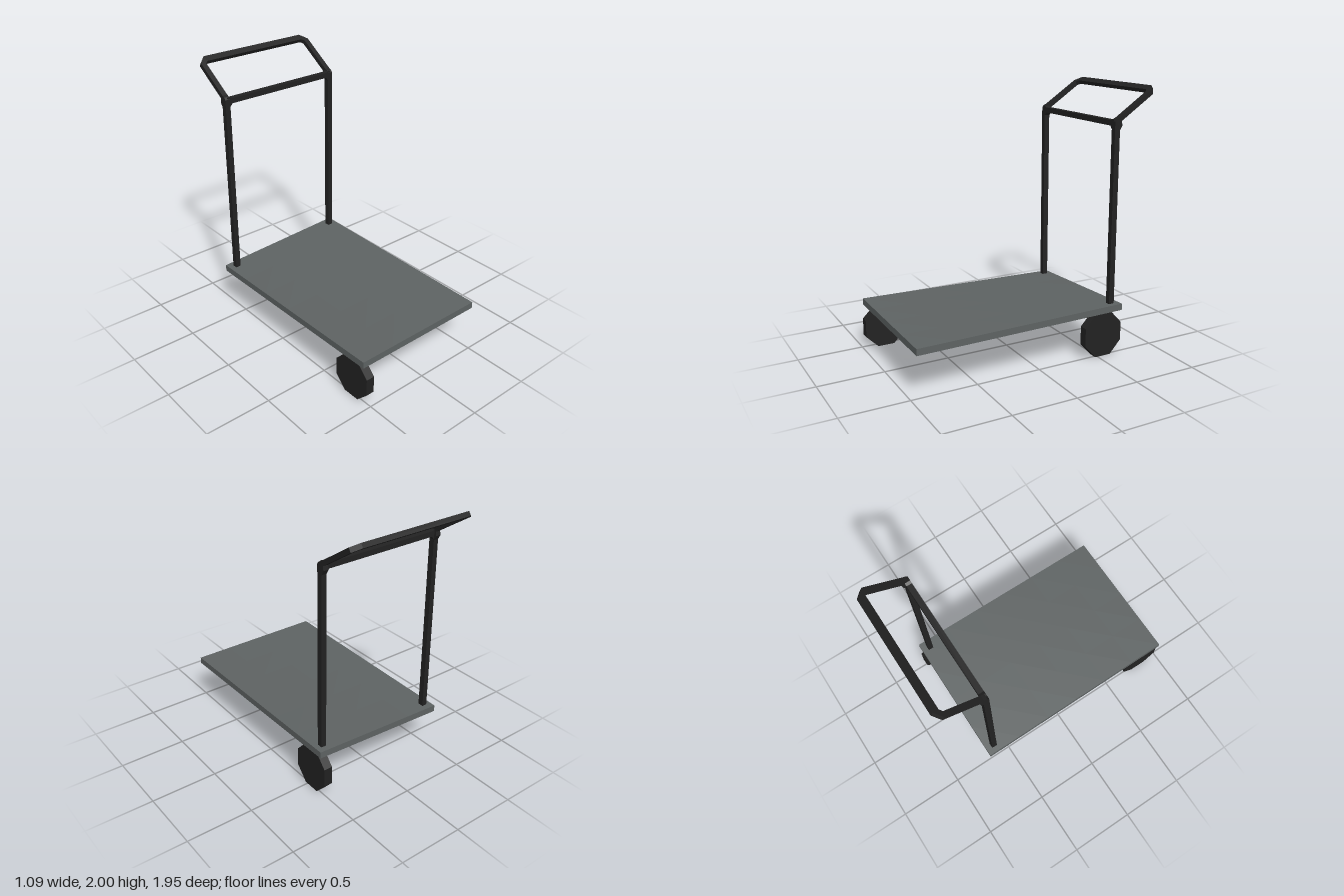
import * as THREE from 'three';

export function createModel() {
  const group = new THREE.Group();
  const deckGrey = new THREE.MeshStandardMaterial({ color: 0x5e6363, flatShading: true });
  deckGrey.name = 'deckGrey';
  const black = new THREE.MeshStandardMaterial({ color: 0x222222, flatShading: true });
  black.name = 'black';

  function add(name, geometry, material, x = 0, y = 0, z = 0) {
    const mesh = new THREE.Mesh(geometry, material);
    mesh.name = name;
    mesh.position.set(x, y, z);
    group.add(mesh);
    return mesh;
  }
  const outline = (points) => new THREE.Shape(points.map(([x, y]) => new THREE.Vector2(x, y)));
  const slab = (shape, depth) => new THREE.ExtrudeGeometry(shape, { depth, bevelEnabled: false });

  // Deck: a thin board, slightly twisted towards the back
  const board = new THREE.BoxGeometry(1.085, 0.05, 1.655, 4, 1, 6);
  const p = board.attributes.position;
  for (let i = 0; i < p.count; i++) {
    const back = 0.5 - p.getZ(i) / 1.655;
    const side = p.getX(i) / 1.085;
    p.setY(i, p.getY(i) + 0.355 + back * (-0.007 + side * 0.053));
  }
  board.computeVertexNormals();
  add('deck', board, deckGrey, 0, 0, 0.137);

  // Two octagonal wheels on opposite corners
  function wheel(name, x, z, height) {
    const geo = new THREE.CylinderGeometry(0.171, 0.171, 0.066, 8);
    geo.rotateY(Math.PI / 8);
    geo.rotateZ(Math.PI / 2);
    geo.scale(1, height / 0.316, 1);
    add(name, geo, black, x, height / 2, z);
  }
  wheel('frontRightWheel', -0.488, 0.82, 0.318);
  wheel('backLeftWheel', 0.485, -0.545, 0.344);

  // Upright posts, bent backwards at the top (profile in z, y)
  for (const side of [-1, 1]) {
    const foot = side > 0 ? 0.36 : 0.305;
    const profile = outline([
      [0.602, foot], [0.645, foot], [0.645, 1.70], [0.665, 1.735],
      [0.658, 1.766], [0.638, 1.793], [0.615, 1.782], [0.602, 1.765],
    ]);
    const geo = slab(profile, 0.04);
    geo.rotateY(Math.PI / 2); // profile x becomes -z, depth becomes x
    add(side > 0 ? 'leftPost' : 'rightPost', geo, black, side * 0.48 - 0.02, 0, 0);
  }

  // Crossbar with flared ends
  const bar = outline([
    [-0.48, 1.705], [-0.46, 1.705], [-0.44, 1.73], [0.44, 1.73], [0.46, 1.705], [0.48, 1.705],
    [0.48, 1.78], [0.46, 1.78], [0.44, 1.77], [-0.44, 1.77], [-0.46, 1.78], [-0.48, 1.78],
  ]);
  add('crossbar', slab(bar, 0.042), black, 0, 0, -0.645);

  // Slanted U-shaped handle with clipped corners
  const loop = outline([
    [-0.5, 0], [-0.46, 0], [-0.46, 0.32], [-0.44, 0.34], [0.44, 0.34], [0.46, 0.32],
    [0.46, 0], [0.5, 0], [0.5, 0.335], [0.445, 0.389], [-0.445, 0.389], [-0.5, 0.335],
  ]);
  const handle = add('handle', slab(loop, 0.034), black, 0, 1.757, -0.645);
  handle.rotation.x = -0.985;

  return group;
}
